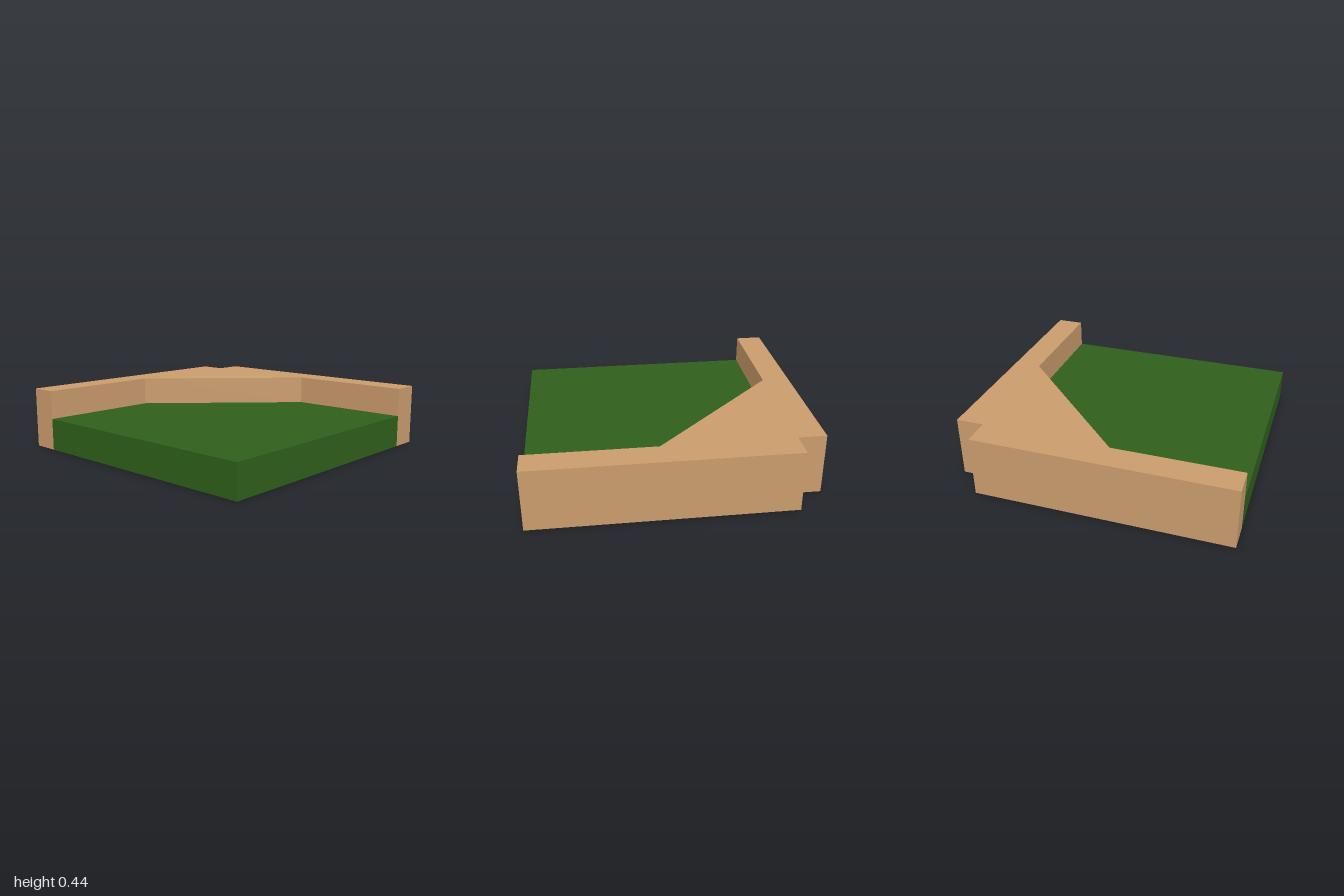
import * as THREE from 'three';

const wood = new THREE.MeshStandardMaterial({ color: 0xc99b6c });
const grass = new THREE.MeshStandardMaterial({ color: 0x2f5f1b });

const TOP = 0.435;     // top of the walls
const GROUND = 0.23;   // top of the ground
const FOOT = 0.12;     // top of the buried footing
const IN = 0.803;      // inner face of the walls
const CUT = 0.108;     // where the diagonal meets the walls
const STEP = 0.35;     // inner edge of the footing

export function createModel() {
  const model = new THREE.Group();

  const add = (name, geometry, material) => {
    const mesh = new THREE.Mesh(geometry, material);
    mesh.name = name;
    model.add(mesh);
  };

  // Box given by its x, y and z ranges
  const box = (name, material, [x0, x1], [y0, y1], [z0, z1]) => {
    const g = new THREE.BoxGeometry(x1 - x0, y1 - y0, z1 - z0);
    g.translate((x0 + x1) / 2, (y0 + y1) / 2, (z0 + z1) / 2);
    add(name, g, material);
  };

  // Upright prism over a plan outline of [x, z] points
  const prism = (name, material, plan, y0, y1) => {
    const shape = new THREE.Shape(plan.map(([x, z]) => new THREE.Vector2(x, -z)));
    const g = new THREE.ExtrudeGeometry(shape, { depth: y1 - y0, bevelEnabled: false });
    g.rotateX(-Math.PI / 2).translate(0, y0, 0);
    add(name, g, material);
  };

  // Two walls that meet only along one inner edge, leaving a notch outside
  box('backWall', wood, [-1, IN], [0, TOP], [-1, -IN]);
  box('sideWall', wood, [IN, 1], [0, TOP], [-IN, 1]);

  // Triangular platform across the corner
  prism('cornerPlatform', wood, [[-CUT, -IN], [IN, CUT], [IN, -IN]], GROUND, TOP);

  // Ground with a corner cut out, the footing in that corner and the turf over it
  prism('ground', grass,
    [[-1, 1], [IN, 1], [IN, CUT], [STEP, CUT], [STEP, -IN], [-1, -IN]], 0, GROUND);
  box('cornerFooting', wood, [STEP, IN], [0, FOOT], [-IN, CUT]);
  box('cornerTurf', grass, [STEP, IN], [FOOT, GROUND], [-IN, CUT]);

  return model;
}
